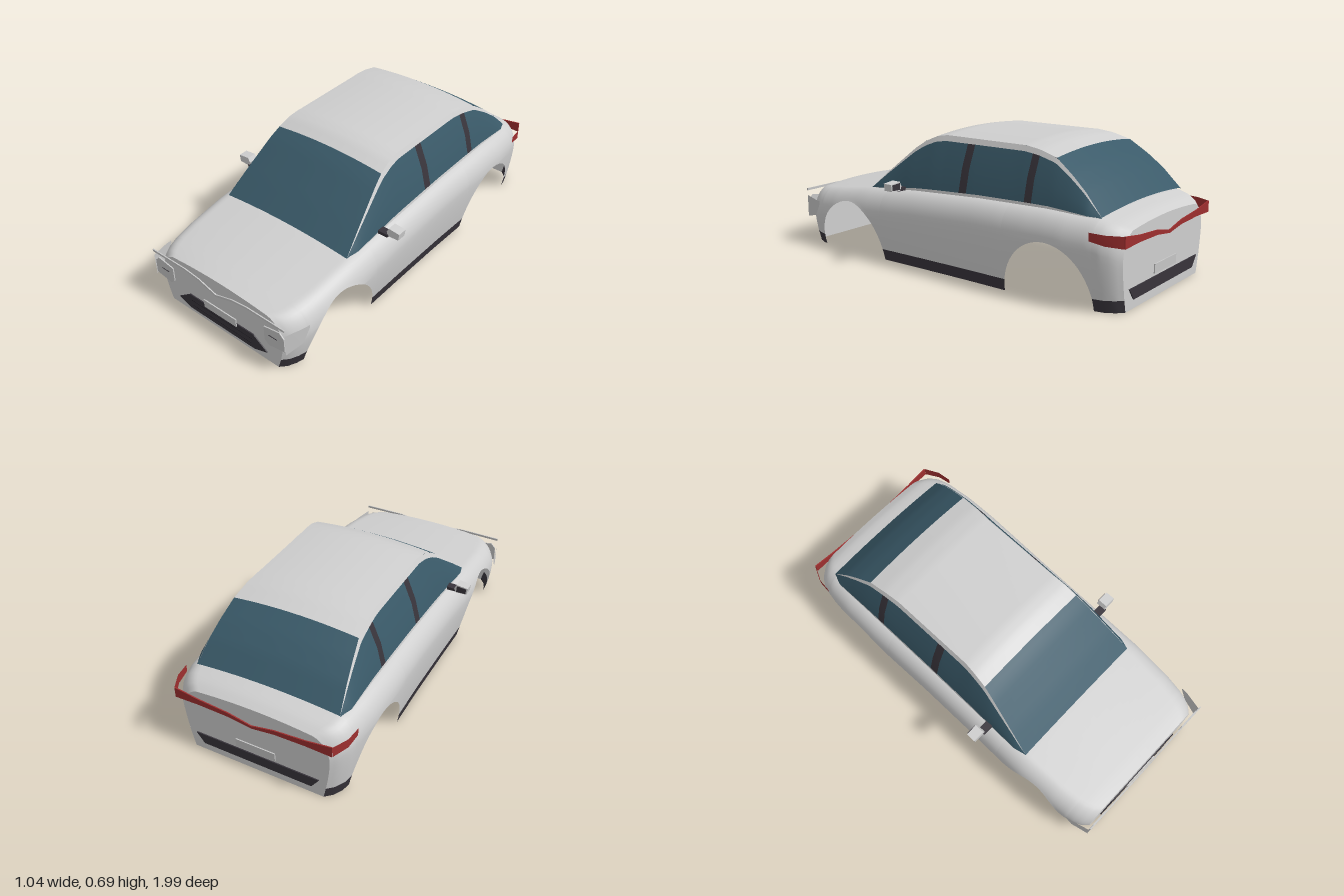
import * as THREE from 'three';

const mat = (name, color) => {
  const m = new THREE.MeshStandardMaterial({ color, side: THREE.DoubleSide });
  m.name = name;
  return m;
};

// linear lookup in a table of [z, value], z descending
function at(table, z) {
  if (z >= table[0][0]) return table[0][1];
  for (let i = 1; i < table.length; i++) {
    const [z0, v0] = table[i - 1], [z1, v1] = table[i];
    if (z >= z1) return v0 + (v1 - v0) * (z0 - z) / (z0 - z1);
  }
  return table[table.length - 1][1];
}

// body half width, deck height, and cabin roof edge along the length
const WIDTH = [[0.97, 0.39], [0.94, 0.418], [0.9, 0.437], [0.85, 0.45], [0.75, 0.462], [0.55, 0.469], [0.2, 0.466],
  [-0.15, 0.466], [-0.5, 0.473], [-0.7, 0.47], [-0.83, 0.457], [-0.9, 0.443], [-0.945, 0.418], [-0.975, 0.385]];
const DECK = [[0.97, 0.31], [0.9, 0.322], [0.75, 0.343], [0.52, 0.374], [0.2, 0.4], [-0.2, 0.42], [-0.6, 0.428],
  [-0.85, 0.42], [-0.93, 0.4], [-0.975, 0.376]];
const ROOF_Y = [[0.52, 0.36], [0.41, 0.457], [0.25, 0.59], [0.19, 0.63], [0.12, 0.66], [0.06, 0.67], [-0.42, 0.67],
  [-0.5, 0.66], [-0.595, 0.634], [-0.69, 0.57], [-0.77, 0.505], [-0.86, 0.41]];
const ROOF_X = [[0.52, 0.385], [0.19, 0.325], [0.05, 0.312], [-0.4, 0.313], [-0.595, 0.328], [-0.86, 0.375]];
const ARCHES = [0.628, -0.622], ARCH_R = 0.235, ARCH_H = 0.28, SILL = 0.058;

// height of the lower edge, raised over the wheel arches
function lowerEdge(z) {
  for (const c of ARCHES) {
    const d = (z - c) / ARCH_R;
    if (Math.abs(d) < 1) return ARCH_H * Math.sqrt(1 - d * d);
  }
  return 0;
}

const RX = 0.1, RY = 0.13;
function sideX(z, y) {
  const w = at(WIDTH, z), ys = at(DECK, z) - 0.015 - RY;
  if (y < ys) return w - 0.036 * Math.pow((ys - y) / ys, 1.5);
  return w - RX + RX * Math.sqrt(Math.max(0, 1 - ((y - ys) / RY) ** 2));
}

// half section from the lower edge over the shoulder to the centre line
function halfSection(z, y0) {
  const w = at(WIDTH, z), h = at(DECK, z), ys = h - 0.015 - RY, pts = [];
  const low = Math.min(y0, ys);
  for (let i = 0; i < 6; i++) {
    const y = Math.max(y0, low + (ys - low) * i / 6);
    pts.push([sideX(z, y), y, z]);
  }
  const t0 = y0 > ys ? Math.asin(Math.min(1, (y0 - ys) / RY)) : 0;
  for (let i = 0; i <= 9; i++) {
    const t = t0 + (Math.PI / 2 - t0) * i / 9;
    pts.push([w - RX + RX * Math.cos(t), ys + RY * Math.sin(t), z]);
  }
  for (let i = 1; i <= 5; i++) {
    const k = 1 - i / 5;
    pts.push([(w - RX) * k, h - 0.015 * k * k, z]);
  }
  return pts;
}
const mirror = pts => pts.map(([x, y, z]) => [-x, y, z]);
const fullSection = half => [...half, ...mirror(half.slice(0, -1)).reverse()];

export function createModel() {
  const car = new THREE.Group();
  car.name = 'carBody';
  const paint = mat('silver paint', 0xcfcfcf);
  const glass = mat('tinted glass', 0x3a5a69);
  const trim = mat('dark trim', 0x38343b);
  const red = mat('red lamp', 0x9e2f2f);
  const lens = mat('lamp lens', 0xc6c6c6);
  const slit = mat('grille slit', 0x252228);

  const add = (name, geo, m) => {
    const mesh = new THREE.Mesh(geo, m);
    mesh.name = name;
    car.add(mesh);
    return mesh;
  };
  // skin over rows of points
  const loft = (name, rows, m) => {
    const n = rows[0].length, idx = [];
    for (let i = 0; i < rows.length - 1; i++) {
      for (let j = 0; j < n - 1; j++) {
        const a = i * n + j, b = a + n;
        idx.push(a, a + 1, b, a + 1, b + 1, b);
      }
    }
    const g = new THREE.BufferGeometry();
    g.setAttribute('position', new THREE.Float32BufferAttribute(rows.flat(2), 3));
    g.setIndex(idx);
    g.computeVertexNormals();
    return add(name, g, m);
  };
  const both = (name, rows, m) => {
    loft(name + 'Left', rows, m);
    loft(name + 'Right', rows.map(r => mirror(r).reverse()), m);
  };
  // thin plate facing front or back
  const plate = (name, pts, z, m, depth = 0.006) => {
    const shape = new THREE.Shape(pts.map(p => new THREE.Vector2(p[0], p[1])));
    const g = new THREE.ExtrudeGeometry(shape, { depth, bevelEnabled: false });
    return add(name, g.translate(0, 0, z), m);
  };
  const symmetric = half => [...half, ...half.map(([x, y]) => [-x, y]).reverse()];

  // lower body shell with wheel arches
  const stations = [0.97, 0.955, 0.94, 0.92, 0.9, 0.88];
  for (const c of ARCHES) {
    for (let i = 0; i <= 30; i++) stations.push(c + ARCH_R * Math.cos(Math.PI * i / 30));
  }
  for (let i = 1; i < 12; i++) stations.push(0.393 - 0.78 * i / 12);
  stations.push(-0.88, -0.9, -0.925, -0.945, -0.96, -0.975);
  stations.sort((a, b) => b - a);
  loft('bodyShell', stations.map(z => fullSection(halfSection(z, Math.max(SILL, lowerEdge(z))))), paint);

  // dark sills along the lower edge
  const runs = [[0.97, 0.8], [0.46, -0.44], [-0.8, -0.975]];
  runs.forEach(([a, b], k) => {
    const zs = stations.filter(z => z <= a && z >= b && lowerEdge(z) <= SILL + 0.004);
    both('sill' + (k + 1), zs.map(z => {
      const y = Math.min(lowerEdge(z), SILL);
      return [[sideX(z, y), y, z], [sideX(z, SILL), SILL, z]];
    }), trim);
  });

  // flat nose and tail panels
  for (const [name, z] of [['nosePanel', 0.97], ['tailPanel', -0.975]]) {
    const pts = fullSection(halfSection(z, 0)).map(p => new THREE.Vector2(p[0], p[1]));
    add(name, new THREE.ShapeGeometry(new THREE.Shape(pts)).translate(0, 0, z), paint);
  }

  // cabin: points on the roof and on the sides
  const roofRow = z => {
    const x = at(ROOF_X, z), y = at(ROOF_Y, z), row = [];
    for (let i = -8; i <= 8; i++) row.push([-x * i / 8, y + 0.02 * (1 - (i / 8) ** 2), z]);
    return row;
  };
  const sideRow = (z, a, b) => {
    const xe = at(ROOF_X, z), ye = at(ROOF_Y, z);
    const yb = Math.min(ye, at(DECK, z) - 0.012), xb = Math.max(xe, Math.min(0.402, xe + (ye - yb) * 0.6));
    return [a, (a + b) / 2, b].map(k => {
      const bulge = 0.012 * Math.sin(Math.PI * k) * Math.min(1, (ye - yb) * 5);
      return [xb + (xe - xb) * k + bulge, yb + (ye - yb) * k, z];
    });
  };
  const span = (a, b, n) => Array.from({ length: n + 1 }, (_, i) => a + (b - a) * i / n);
  loft('windscreen', span(0.52, 0.19, 12).map(roofRow), glass);
  loft('roof', span(0.19, -0.595, 36).map(roofRow), paint);
  loft('rearWindow', span(-0.595, -0.86, 12).map(roofRow), glass);
  both('roofRail', span(0.52, -0.86, 60).map(z => sideRow(z, 0.9, 1)), paint);
  both('frontSideWindow', span(0.52, -0.08, 28).map(z => sideRow(z, 0.05, 0.9)), glass);
  both('centrePillar', span(-0.08, -0.125, 2).map(z => sideRow(z, 0.05, 0.9)), trim);
  both('rearSideWindow', span(-0.125, -0.465, 8).map(z => sideRow(z, 0.05, 0.9)), glass);
  both('rearPillar', span(-0.465, -0.505, 2).map(z => sideRow(z, 0.05, 0.9)), trim);
  both('quarterWindow', span(-0.505, -0.86, 18).map(z => sideRow(z, 0.05, 0.9)), glass);
  both('windowLedge', span(0.52, -0.86, 40).map(z => sideRow(z, 0, 0.05)), paint);

  // nose details
  plate('grille', symmetric([[0.21, 0.028], [0.293, 0.056], [0.21, 0.117]]), 0.971, trim);
  plate('upperSlit', symmetric([[0.205, 0.085], [0.205, 0.089]]), 0.976, slit, 0.003);
  plate('lowerSlit', symmetric([[0.195, 0.055], [0.195, 0.059]]), 0.976, slit, 0.003);
  plate('frontNumberPlate', symmetric([[0.105, 0.105], [0.105, 0.15]]), 0.977, lens);
  plate('noseStrip', symmetric([[0, 0.239], [0.11, 0.274], [0.2, 0.286], [0.425, 0.284],
    [0.425, 0.296], [0.2, 0.297], [0.11, 0.286], [0, 0.252]].slice(0, 8)), 0.988, lens);

  // tail details
  plate('rearBumperStrip', symmetric([[0.29, 0.045], [0.33, 0.1]]), -0.982, trim);
  plate('rearNumberPlate', symmetric([[0.105, 0.115], [0.105, 0.16]]), -0.984, lens);
  for (const s of [1, -1]) {
    const side = s > 0 ? 'Left' : 'Right';
    const flip = pts => pts.map(([x, y]) => [x * s, y]);
    plate('tailBar' + side, flip([[0, 0.285], [0.12, 0.302], [0.28, 0.306], [0.41, 0.302],
      [0.41, 0.358], [0.28, 0.338], [0.12, 0.325], [0, 0.3]]), -0.998, red);
    plate('headlamp' + side, flip([[0.417, 0.232], [0.392, 0.258], [0.297, 0.24], [0.297, 0.161],
      [0.322, 0.139], [0.419, 0.156]]), 0.984, lens);
    plate('lampMark' + side, flip([[0.325, 0.203], [0.375, 0.203], [0.375, 0.206], [0.325, 0.206]]), 0.99, trim, 0.002);

    // door mirror on a short stalk
    const housing = plate('mirror' + side, flip([[0.455, 0.39], [0.515, 0.393], [0.52, 0.43],
      [0.458, 0.436], [0.447, 0.412]]), 0.25, paint, 0.05);
    housing.geometry.computeVertexNormals();
    plate('mirrorGlass' + side, flip([[0.46, 0.396], [0.51, 0.398], [0.513, 0.426], [0.462, 0.43]]), 0.246, trim, 0.003);
    plate('mirrorStalk' + side, flip([[0.39, 0.38], [0.455, 0.383], [0.458, 0.398], [0.39, 0.398]]), 0.265, trim, 0.04);
  }

  // lamp returns wrapping round the corners
  both('headlampSide', [[[0.425, 0.14, 0.99], [0.425, 0.258, 0.99]], [[0.449, 0.162, 0.9], [0.449, 0.25, 0.9]],
    [[0.455, 0.232, 0.86], [0.455, 0.246, 0.86]]], lens);
  both('tailLampSide', [[[0.456, 0.322, -0.845], [0.456, 0.36, -0.845]], [[0.448, 0.31, -0.92], [0.448, 0.358, -0.92]],
    [[0.412, 0.302, -0.994], [0.412, 0.357, -0.994]]], red);
  return car;
}
